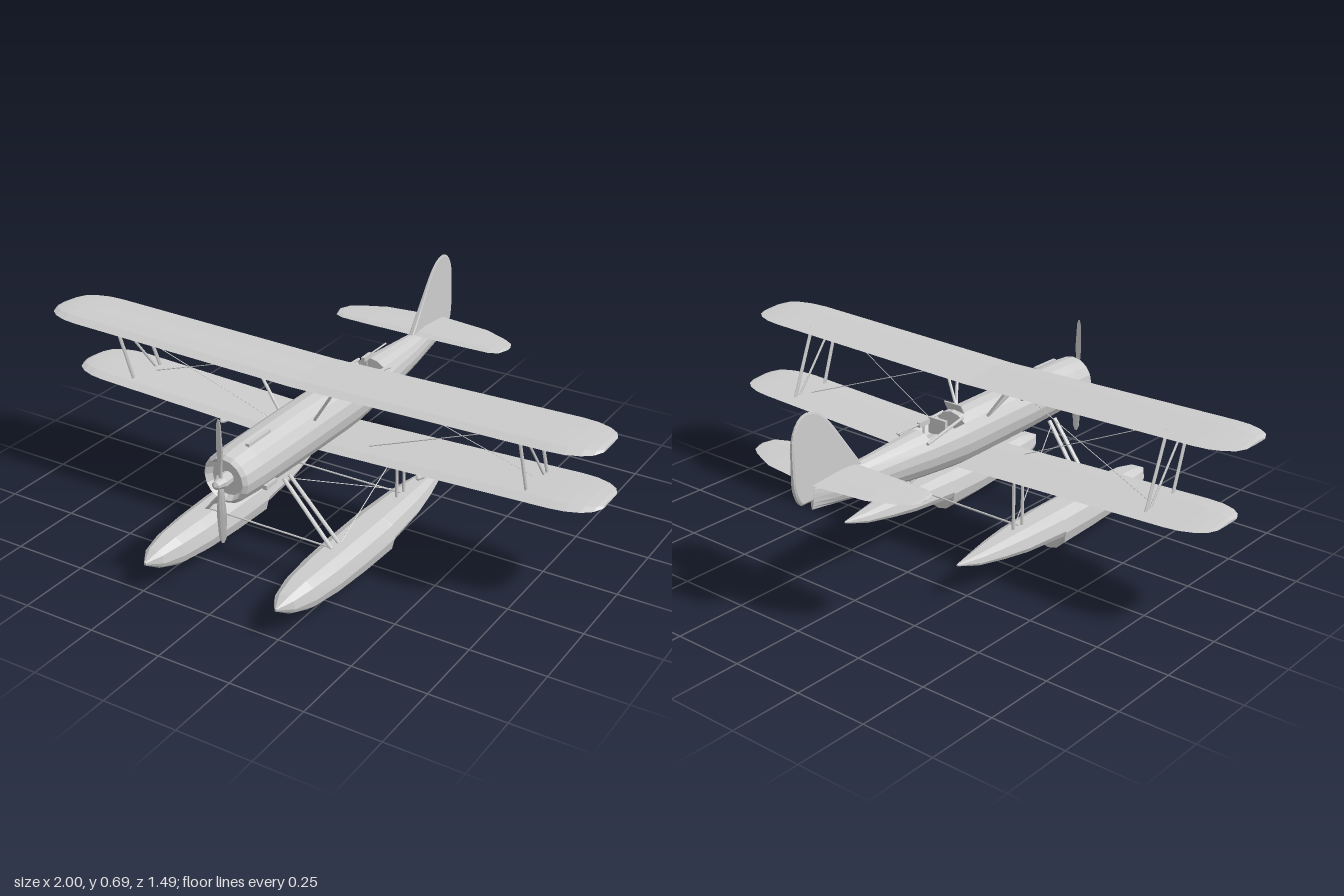
import * as THREE from 'three';

const mat = new THREE.MeshStandardMaterial({ color: 0xcccccc, flatShading: true, side: THREE.DoubleSide });
const V = (x, y, z) => new THREE.Vector3(x, y, z);

function add(parent, name, geo, x = 0, y = 0, z = 0) {
  const m = new THREE.Mesh(geo, mat);
  m.name = name;
  m.position.set(x, y, z);
  parent.add(m);
  return m;
}

// Skin over a row of closed rings, with both ends capped
function loft(rings) {
  const n = rings[0].length, pos = [], idx = [];
  rings.forEach(r => r.forEach(p => pos.push(p.x, p.y, p.z)));
  for (let s = 0; s < rings.length - 1; s++)
    for (let i = 0; i < n; i++) {
      const a = s * n + i, b = s * n + (i + 1) % n;
      idx.push(a, a + n, b, b, a + n, b + n);
    }
  [0, rings.length - 1].forEach(s => {
    const c = rings[s].reduce((q, p) => q.add(p), V(0, 0, 0)).divideScalar(n);
    const k = pos.length / 3;
    pos.push(c.x, c.y, c.z);
    for (let i = 0; i < n; i++) {
      const a = s * n + i, b = s * n + (i + 1) % n;
      s === 0 ? idx.push(k, a, b) : idx.push(k, b, a);
    }
  });
  const g = new THREE.BufferGeometry();
  g.setAttribute('position', new THREE.Float32BufferAttribute(pos, 3));
  g.setIndex(idx);
  g.computeVertexNormals();
  return g;
}

// Aerofoil sections along x; station = [x, trailing z, leading z, y, thickness]
const FOIL = [[0, 0], [0.35, 0.6], [0.65, 1], [0.88, 0.8], [1, 0.1], [0.9, -0.25], [0.5, -0.3]];
const foil = stations => loft(stations.map(([x, t, l, y, h]) =>
  FOIL.map(([f, k]) => V(x, y + k * h, t + f * (l - t)))));
const mirrored = half => [...half, ...half.filter(s => s[0] > 0).reverse().map(([x, ...r]) => [-x, ...r])];

// Wing with rounded tips and dihedral
function wing(span, back, front, y0, rise) {
  const mid = (back + front) / 2, c = (front - back) / 2;
  const tips = [[0, 0.42, 0.35], [0.015, 0.66, 0.6], [0.045, 0.84, 0.8], [0.09, 0.96, 0.95], [0.14, 1, 1]];
  const half = tips.map(([d, f, h]) =>
    [span - d, mid - c * f, mid + c * f, y0 + rise * (span - d), 0.017 * h]);
  half.push([0, back, front, y0, 0.017]);
  return foil(mirrored(half));
}

// Rod between two points, flattened sideways by flat
function rod(parent, name, a, b, r, flat = 1) {
  const d = b.clone().sub(a);
  const m = add(parent, name, new THREE.CylinderGeometry(r, r, d.length(), r < 0.003 ? 4 : 8));
  m.position.copy(a).add(b).multiplyScalar(0.5);
  m.quaternion.setFromUnitVectors(V(0, 1, 0), d.normalize());
  m.scale.x = flat;
}

// Fuselage: [z, bottom, top, half width, cockpit depth]
function fuselage() {
  const secs = [
    [0.63, 0.36, 0.475, 0.055], [0.652, 0.35, 0.487, 0.068], [0.64, 0.338, 0.497, 0.079],
    [0.56, 0.332, 0.502, 0.084], [0.3, 0.32, 0.502, 0.085], [0.05, 0.312, 0.499, 0.083],
    [-0.03, 0.312, 0.495, 0.081], [-0.032, 0.312, 0.495, 0.081, 0.05],
    [-0.1, 0.318, 0.489, 0.077, 0.05], [-0.19, 0.325, 0.483, 0.071, 0.05],
    [-0.192, 0.325, 0.483, 0.071], [-0.45, 0.352, 0.466, 0.045], [-0.58, 0.367, 0.46, 0.025],
    [-0.67, 0.377, 0.456, 0.006]];
  return loft(secs.map(([z, b, t, w, dip = 0]) => Array.from({ length: 16 }, (_, i) => {
    const a = i * Math.PI / 8, s = Math.sin(a);
    return V(w * Math.cos(a), (b + t) / 2 + s * (t - b) / 2 - (s > 0.8 ? dip : 0), z);
  })));
}

// Stepped float: [z, half width, deck, chine, keel]
function floatHull() {
  const secs = [
    [0.747, 0.004, 0.105, 0.1, 0.095], [0.7, 0.038, 0.127, 0.09, 0.065], [0.62, 0.058, 0.14, 0.083, 0.035],
    [0.5, 0.071, 0.143, 0.08, 0.02], [0.35, 0.077, 0.144, 0.08, 0.009], [0.187, 0.078, 0.143, 0.08, 0.002],
    [0.18, 0.077, 0.143, 0.086, 0.042], [0, 0.065, 0.139, 0.09, 0.058], [-0.1, 0.05, 0.134, 0.096, 0.072],
    [-0.2, 0.029, 0.127, 0.103, 0.088], [-0.287, 0.003, 0.123, 0.12, 0.117]];
  return loft(secs.map(([z, w, t, c, k]) => {
    const right = [[0.42, t], [0.85, c + (t - c) * 0.68], [1, c], [0.88, c + (k - c) * 0.5], [0.45, c + (k - c) * 0.9]];
    return [...right.slice().reverse().map(([f, y]) => V(f * w, y, z)),
      ...right.map(([f, y]) => V(-f * w, y, z)), V(0, k, z)];
  }));
}

// Fin and rudder, thinner towards the top
function fin() {
  const s = new THREE.Shape();
  s.moveTo(0.46, 0.46);
  s.lineTo(0.56, 0.6);
  s.bezierCurveTo(0.6, 0.655, 0.63, 0.69, 0.68, 0.69);
  s.bezierCurveTo(0.72, 0.69, 0.747, 0.64, 0.747, 0.59);
  s.lineTo(0.747, 0.49);
  s.quadraticCurveTo(0.745, 0.44, 0.72, 0.41);
  s.lineTo(0.672, 0.41);
  s.lineTo(0.66, 0.455);
  const g = new THREE.ExtrudeGeometry(s, { depth: 0.012, bevelThickness: 0.004, bevelSize: 0.006,
    bevelOffset: -0.006, bevelSegments: 1, curveSegments: 6 });
  g.translate(0, 0, -0.006).rotateY(Math.PI / 2);
  const p = g.attributes.position;
  for (let i = 0; i < p.count; i++) p.setX(i, p.getX(i) * (1.1 - (p.getY(i) - 0.41) * 2.8));
  g.computeVertexNormals();
  return g;
}

export function createModel() {
  const plane = new THREE.Group();
  plane.name = 'biplaneFloatplane';

  // Body, wings and tail
  add(plane, 'fuselage', fuselage());
  add(plane, 'upperWing', wing(1, 0.035, 0.288, 0.571, 0.02));
  add(plane, 'lowerWing', wing(0.977, -0.058, 0.197, 0.322, 0.036));
  add(plane, 'tailplane', foil(mirrored([
    [0.335, -0.56, -0.535, 0.46, 0.003], [0.322, -0.59, -0.495, 0.46, 0.006], [0.29, -0.612, -0.48, 0.46, 0.008],
    [0.2, -0.652, -0.477, 0.46, 0.01], [0, -0.677, -0.475, 0.46, 0.011]])));
  add(plane, 'fin', fin());

  // Propeller
  const prop = new THREE.Group();
  prop.name = 'propeller';
  prop.position.set(0, 0.418, 0.667);
  plane.add(prop);
  for (const turn of [1, -1]) {
    const blade = foil([[0.207, -0.004, 0.004, 0, 0.002], [0.19, -0.011, 0.011, 0, 0.003],
      [0.11, -0.016, 0.016, 0, 0.005], [0.03, -0.01, 0.01, 0, 0.007], [0, -0.007, 0.007, 0, 0.007]]);
    add(prop, 'blade', blade.rotateX(1.3).rotateZ(turn * Math.PI / 2));
  }
  const hub = [[0, -0.04], [0.021, -0.04], [0.023, 0], [0.016, 0.012], [0.013, 0.026], [0, 0.034]];
  add(prop, 'spinner', new THREE.LatheGeometry(hub.map(p => new THREE.Vector2(...p)), 10).rotateX(Math.PI / 2));

  // Cockpit fittings
  const screen = add(plane, 'windscreen', new THREE.BoxGeometry(0.07, 0.036, 0.004), 0, 0.506, -0.014);
  screen.rotation.x = -0.5;
  rod(plane, 'rearGun', V(0, 0.5, -0.14), V(0, 0.5, -0.29), 0.003);
  add(plane, 'gunBody', new THREE.BoxGeometry(0.012, 0.016, 0.05), 0, 0.498, -0.165);
  rod(plane, 'gunMount', V(0, 0.43, -0.165), V(0, 0.495, -0.165), 0.004);
  add(plane, 'cockpitRib', new THREE.BoxGeometry(0.07, 0.055, 0.012), 0, 0.463, -0.095);
  add(plane, 'cowlTopFairing', new THREE.BoxGeometry(0.012, 0.012, 0.115), 0.025, 0.499, 0.505);

  for (const s of [1, -1]) {
    const side = new THREE.Group();
    side.name = s > 0 ? 'leftSide' : 'rightSide';
    plane.add(side);
    const P = (x, y, z) => V(s * x, y, z);

    add(side, 'float', floatHull(), s * 0.24);
    rod(side, 'cockpitRail', P(0.042, 0.482, -0.02), P(0.06, 0.457, -0.215), 0.005);
    add(side, 'exhaust', new THREE.BoxGeometry(0.016, 0.014, 0.058), s * 0.075, 0.367, 0.522);

    // Float struts
    rod(side, 'frontFloatStrut', P(0.07, 0.345, 0.44), P(0.24, 0.135, 0.428), 0.008, 0.7);
    rod(side, 'frontFloatStrut', P(0.07, 0.345, 0.41), P(0.24, 0.135, 0.387), 0.008, 0.7);
    for (const z of [0.042, -0.004])
      rod(side, 'rearFloatStrut', P(0.24, 0.335, z), P(0.24, 0.13, z), 0.006, 0.8);
    rod(side, 'floatWire', P(0.085, 0.33, 0.4), P(0.24, 0.145, 0), 0.0017);
    rod(side, 'floatWire', P(0.24, 0.145, 0.387), P(0.24, 0.31, 0.04), 0.0017);

    // Struts between the wings
    rod(side, 'wingStrut', P(0.74, 0.59, 0.22), P(0.74, 0.35, 0.14), 0.008, 0.5);
    rod(side, 'wingStrut', P(0.74, 0.59, 0.09), P(0.74, 0.35, -0.005), 0.008, 0.5);
    rod(side, 'wingStrut', P(0.74, 0.59, 0.2), P(0.74, 0.35, 0.015), 0.005, 0.6);
    rod(side, 'cabaneStrut', P(0.135, 0.575, 0.258), P(0.066, 0.465, 0.258), 0.006, 0.8);
    rod(side, 'cabaneStrut', P(0.135, 0.575, 0.165), P(0.066, 0.465, 0.075), 0.006, 0.8);
    rod(side, 'cabaneStrut', P(0.135, 0.575, 0.105), P(0.066, 0.465, 0.075), 0.005, 0.8);

    // Bracing wires
    rod(side, 'wingWire', P(0.73, 0.585, 0.2), P(0.16, 0.335, 0.12), 0.0015);
    rod(side, 'wingWire', P(0.73, 0.355, 0.05), P(0.14, 0.575, 0.12), 0.0015);

    // Small bomb under the wing
    const shell = [[0, -0.062], [0.007, -0.055], [0.012, -0.015], [0.013, 0.035], [0.008, 0.055], [0, 0.062]];
    add(side, 'bomb', new THREE.LatheGeometry(shell.map(p => new THREE.Vector2(...p)), 8)
      .rotateX(Math.PI / 2), s * 0.373, 0.296, 0.092);
    add(side, 'bombRack', new THREE.BoxGeometry(0.007, 0.035, 0.06), s * 0.373, 0.32, 0.09);
  }

  // Bars joining the floats
  for (const z of [0.428, 0.02])
    rod(plane, 'spreaderBar', V(-0.24, 0.145, z), V(0.24, 0.145, z), 0.003);
  return plane;
}
